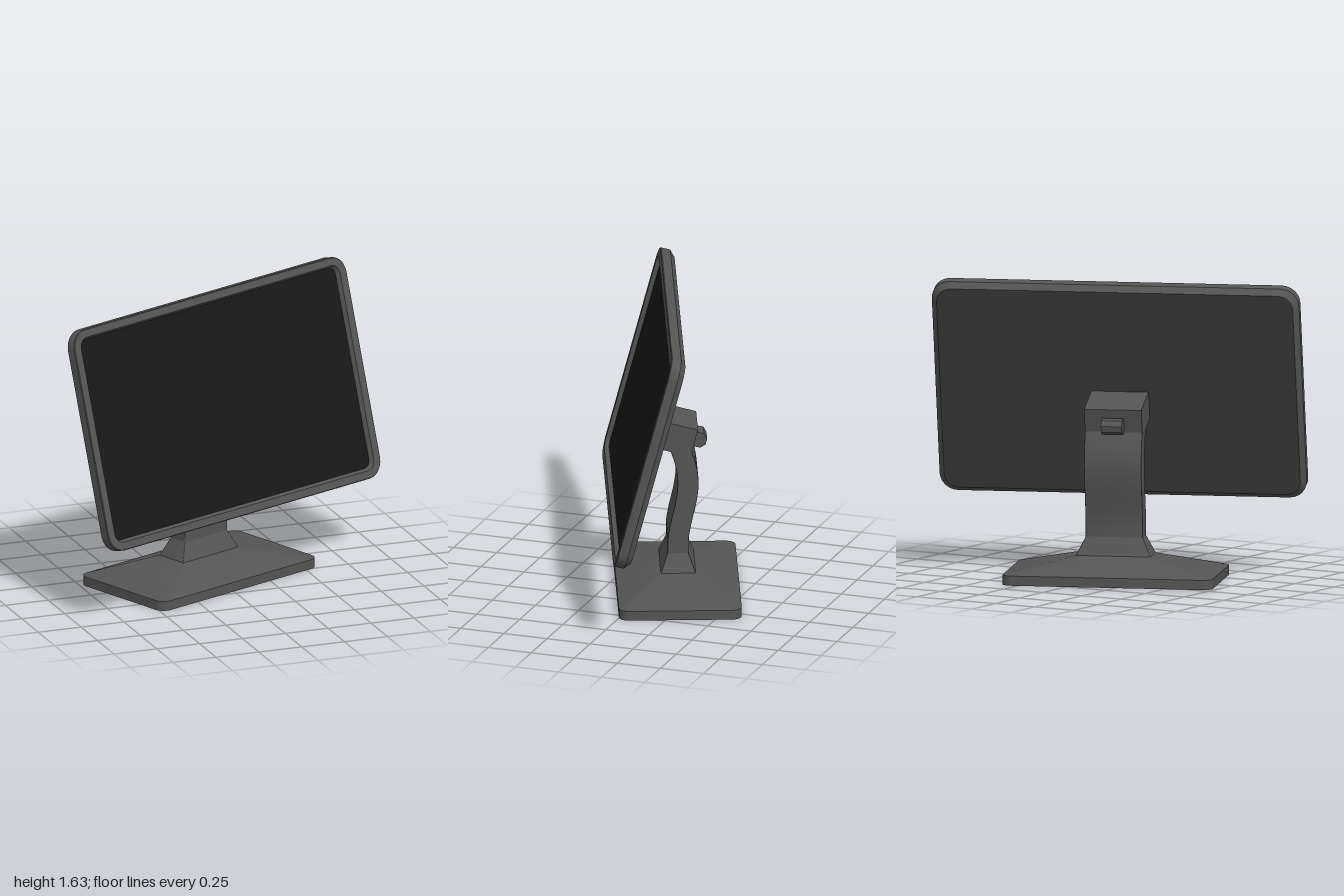
import * as THREE from 'three';
import { toCreasedNormals } from 'three/addons/utils/BufferGeometryUtils.js';

const paint = (color) => new THREE.MeshStandardMaterial({ color, roughness: 0.8 });

// Outline of a rounded rectangle, six segments per corner
function outline(hx, hz, r) {
  const pts = [];
  [[1, 1], [-1, 1], [-1, -1], [1, -1]].forEach(([sx, sz], q) => {
    for (let i = 0; i <= 6; i++) {
      const a = (q + i / 6) * Math.PI / 2;
      pts.push([sx * (hx - r) + r * Math.cos(a), sz * (hz - r) + r * Math.sin(a)]);
    }
  });
  return pts;
}

// Skin over rounded rectangles stacked along y: [y, halfX, halfZ, radius, shiftZ]
function loft(sections, capped = true) {
  const rings = sections.map(([y, hx, hz, r, dz = 0]) =>
    outline(hx, hz, r).map(([x, z]) => [x, y, z + dz]));
  const n = rings[0].length;
  const pos = [];
  for (let s = 0; s < rings.length - 1; s++) {
    for (let i = 0; i < n; i++) {
      const j = (i + 1) % n;
      const [a, b, c, d] = [rings[s][i], rings[s][j], rings[s + 1][i], rings[s + 1][j]];
      pos.push(...a, ...c, ...b, ...b, ...c, ...d);
    }
  }
  if (capped) {
    const last = sections.length - 1;
    const mid = (k) => [0, sections[k][0], sections[k][4] || 0];
    for (let i = 0; i < n; i++) {
      const j = (i + 1) % n;
      pos.push(...mid(0), ...rings[0][i], ...rings[0][j]);
      pos.push(...mid(last), ...rings[last][j], ...rings[last][i]);
    }
  }
  const geo = new THREE.BufferGeometry();
  geo.setAttribute('position', new THREE.Float32BufferAttribute(pos, 3));
  return toCreasedNormals(geo, 0.32);
}

export function createModel() {
  const root = new THREE.Group();
  const display = new THREE.Group();
  display.name = 'displayStand';
  display.position.set(-0.079, 0, -0.11);
  display.rotation.y = THREE.MathUtils.degToRad(22);
  root.add(display);

  const body = paint(0x555555);
  const add = (parent, name, geo, mat) => {
    const mesh = new THREE.Mesh(geo, mat);
    mesh.name = name;
    parent.add(mesh);
    return mesh;
  };

  // Base slab rising in shallow slopes to the foot of the neck
  add(display, 'base', loft([
    [0, 0.58, 0.335, 0.056],
    [0.053, 0.58, 0.335, 0.056],
    [0.14, 0.205, 0.095, 0.004],
  ]), body);

  // Flared foot and neck that bows backward
  const neck = [[0.13, 0.205, 0.095, 0.004], [0.14, 0.205, 0.095, 0.004]];
  const bow = new THREE.CatmullRomCurve3([
    [0.24, 0], [0.33, -0.002], [0.42, -0.018], [0.53, -0.043],
    [0.64, -0.055], [0.74, -0.043], [0.85, -0.008],
  ].map(([y, z]) => new THREE.Vector3(0, y, z)));
  bow.getPoints(18).forEach((p) => neck.push([p.y, 0.158, 0.057, 0.004, p.z]));
  add(display, 'neck', loft(neck), body);

  // Tilted head: its local z = 0 is the front of the bezel
  const head = new THREE.Group();
  head.name = 'head';
  head.position.set(0.008, 1.035, 0.22);
  head.rotation.x = -THREE.MathUtils.degToRad(15);
  display.add(head);

  const W = 1.013, H = 0.617;
  const slab = (sections, capped) => loft(sections, capped).rotateX(Math.PI / 2);

  // Housing: chamfered back, straight rim, bezel face and sloped recess
  add(head, 'housing', slab([
    [-0.086, W - 0.03, H - 0.03, 0.08],
    [-0.055, W, H, 0.1],
    [-0.004, W, H, 0.1],
    [0, W - 0.004, H - 0.004, 0.096],
    [0, W - 0.05, H - 0.045, 0.055],
    [-0.025, W - 0.064, H - 0.059, 0.042],
  ], false), body);
  add(head, 'backPanel', slab([
    [-0.086, W - 0.03, H - 0.03, 0.08],
    [-0.075, W - 0.03, H - 0.03, 0.08],
  ]), paint(0x3c3c3c));
  add(head, 'screen', slab([
    [-0.035, W - 0.062, H - 0.057, 0.042],
    [-0.024, W - 0.062, H - 0.057, 0.042],
  ]), paint(0x181818));

  // Hinge block joining the head to the neck, with a faceted tilt knob
  const hinge = add(head, 'hingeBlock', new THREE.BoxGeometry(0.316, 0.158, 0.26), body);
  hinge.position.set(-0.008, -0.078, -0.21);
  const knobGeo = new THREE.CylinderGeometry(0.045, 0.045, 0.116, 8).toNonIndexed();
  const knob = add(head, 'tiltKnob', toCreasedNormals(knobGeo, 0.3), body);
  knob.rotation.set(Math.PI / 8, 0, Math.PI / 2);
  knob.position.set(-0.008, -0.085, -0.372);

  return root;
}
